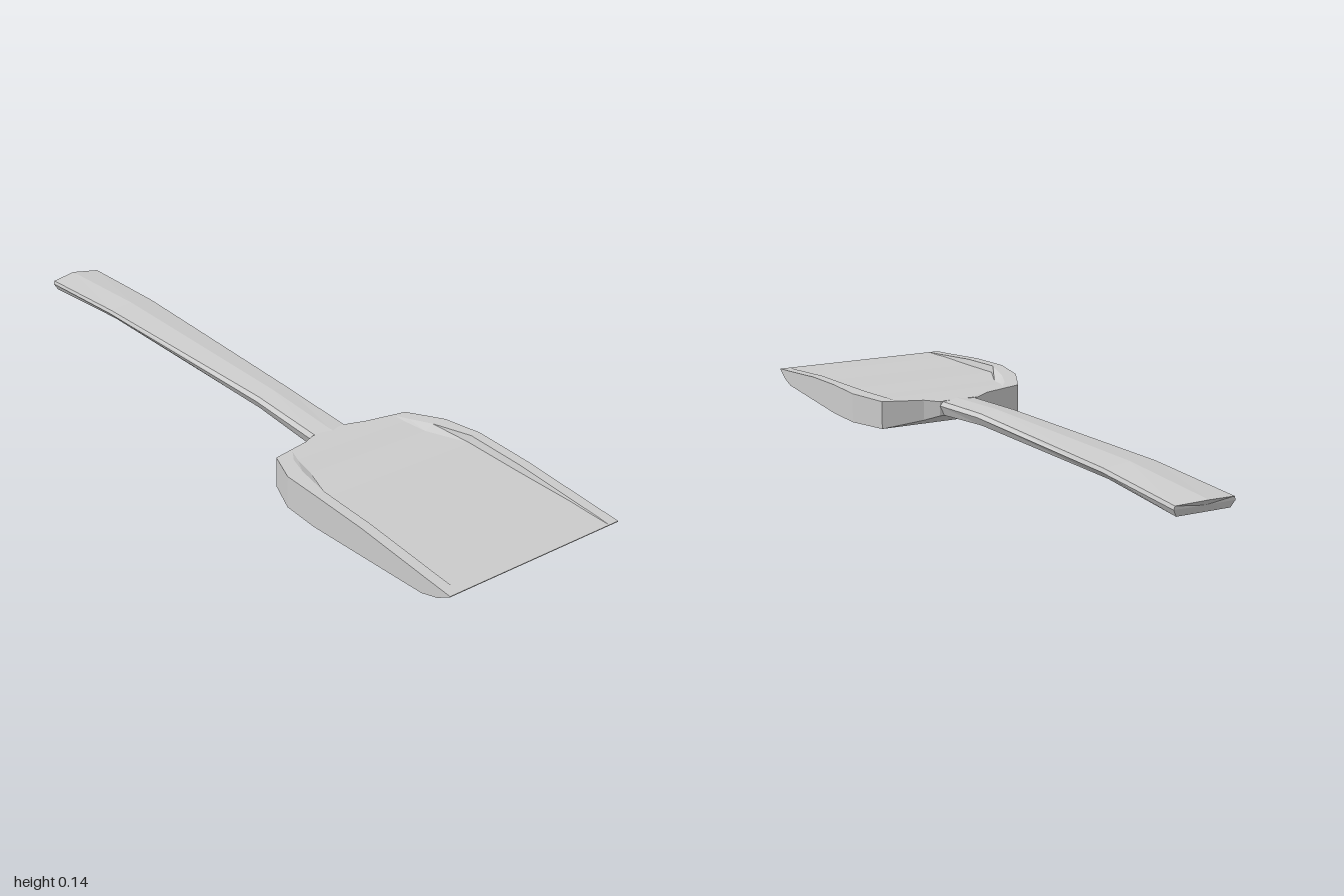
import * as THREE from 'three';

const material = new THREE.MeshStandardMaterial({ color: 0xcccccc, flatShading: true });

// Closed loft through rings of [x, y, z] running along +x, capped at both ends
function loft(name, rings) {
  const pos = [];
  const tri = (a, b, c) => pos.push(...a, ...b, ...c);
  const n = rings[0].length;
  const centre = (r) => [0, 1, 2].map((k) => r.reduce((s, p) => s + p[k], 0) / n);
  const first = rings[0], last = rings[rings.length - 1];
  const c0 = centre(first), c1 = centre(last);
  for (let j = 0; j < n; j++) {
    const k = (j + 1) % n;
    for (let i = 0; i < rings.length - 1; i++) {
      const a = rings[i][j], b = rings[i][k], c = rings[i + 1][k], d = rings[i + 1][j];
      tri(a, b, c);
      tri(a, c, d);
    }
    tri(c0, first[k], first[j]);
    tri(c1, last[j], last[k]);
  }
  const geo = new THREE.BufferGeometry();
  geo.setAttribute('position', new THREE.Float32BufferAttribute(pos, 3));
  geo.computeVertexNormals();
  const mesh = new THREE.Mesh(geo, material);
  mesh.name = name;
  return mesh;
}

// Mirrors a +z half section (listed from top to bottom) into a full ring
function mirrorRing(half) {
  const side = half.filter((p) => p[2] > 0);
  return [...side.map(([x, y, z]) => [x, y, -z]).reverse(), ...half];
}

export function createModel() {
  const group = new THREE.Group();
  group.name = 'scoopSpatula';

  // Handle: x, ridge y, top edge (y, z), widest line (y, z), underside (y, z), end slant
  const handle = [
    [-1.0, 0.138, 0.131, 0.078, 0.122, 0.081, 0.104, 0.071, 0.02],
    [-0.67, 0.138, 0.13, 0.071, 0.12, 0.075, 0.102, 0.058, 0],
    [0.02, 0.1, 0.094, 0.05, 0.084, 0.06, 0.06, 0.046, 0],
    [0.26, 0.076, 0.072, 0.05, 0.06, 0.059, 0.031, 0.046, 0],
    [0.32, 0.074, 0.068, 0.05, 0.055, 0.058, 0.024, 0.046, 0],
  ].map(([x, ty, ey, ez, my, mz, by, bz, s]) => mirrorRing([
    [x, ty, 0],
    [x + s * 0.75, ey, ez],
    [x + s * 0.75, my, mz],
    [x + s, by, bz],
  ]));
  group.add(loft('handle', handle));

  // Blade: x, half width, underside y, rim y, rim inner z, floor y, floor edge z
  const blade = [
    [0.26, 0.06, 0.031, 0.073, 0.05, 0.074, 0.045],
    [0.282, 0.1, 0.018, 0.077, 0.085, 0.077, 0.075],
    [0.31, 0.217, 0, 0.08, 0.18, 0.08, 0.165],
    [0.35, 0.235, 0, 0.082, 0.193, 0.078, 0.18],
    [0.415, 0.264, 0, 0.085, 0.218, 0.072, 0.192],
    [0.53, 0.275, 0, 0.087, 0.245, 0.068, 0.24],
    [0.7, 0.275, 0, 0.073, 0.245, 0.056, 0.241],
    [0.88, 0.275, 0, 0.05, 0.245, 0.045, 0.243],
    [0.91, 0.275, 0, 0.046, 0.245, 0.042, 0.243],
    [0.96, 0.275, 0.012, 0.04, 0.245, 0.038, 0.243],
    [1.0, 0.275, 0.033, 0.035, 0.245, 0.035, 0.243],
  ].map(([x, w, by, ry, rz, fy, fz]) => mirrorRing([
    [x, fy, fz],
    [x, ry, rz],
    [x, ry, w],
    [x, by, w],
  ]));
  group.add(loft('blade', blade));

  return group;
}
